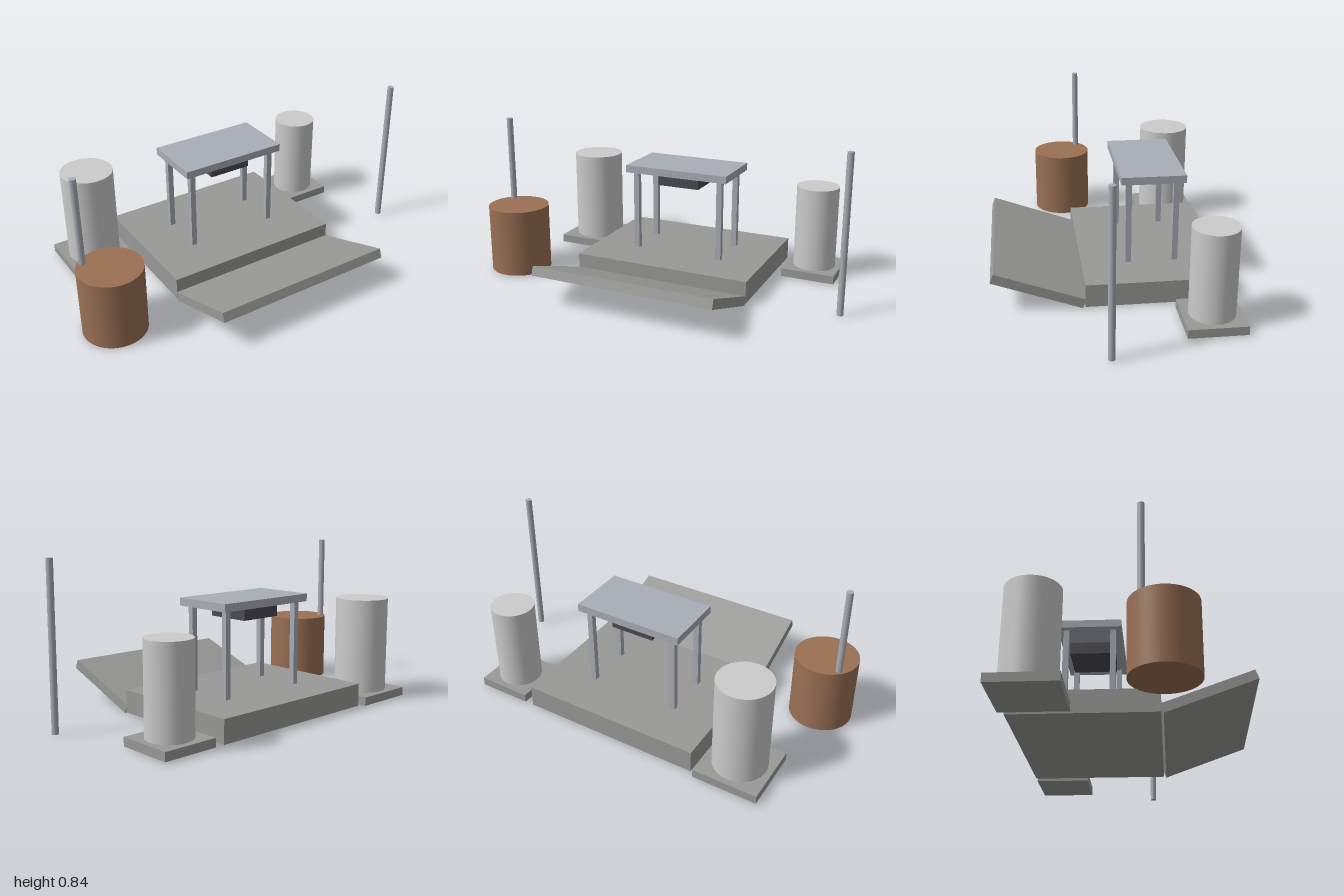
import * as THREE from 'three';

const mat = (color) => new THREE.MeshStandardMaterial({ color });

export function createModel() {
  const model = new THREE.Group();
  const grey = mat(0xcccccc);
  const concrete = mat(0x999997);
  const steel = mat(0xa9adb6);
  const dark = mat(0x4a4a50);
  const brown = mat(0x9a7054);

  const add = (name, geometry, material, x, y, z) => {
    const mesh = new THREE.Mesh(geometry, material);
    mesh.name = name;
    mesh.position.set(x, y, z);
    model.add(mesh);
    return mesh;
  };
  // Box and upright cylinder placed by their base height
  const box = (name, material, x, y, z, w, h, d) =>
    add(name, new THREE.BoxGeometry(w, h, d), material, x, y + h / 2, z);
  const drum = (name, material, x, y, z, r, h, sides = 48) =>
    add(name, new THREE.CylinderGeometry(r, r, h, sides), material, x, y + h / 2, z);

  // Platform with a ramp tilted up towards the front
  const cx = 0.022;
  box('platform', concrete, cx, 0.01, -0.219, 0.98, 0.12, 0.735);
  const ramp = box('ramp', concrete, cx, 0.085, 0.378, 0.98, 0.05, 0.48);
  ramp.rotation.x = -0.35;

  // Canopy on four posts, with a unit hung under it
  const cz = -0.218;
  box('canopyRoof', steel, cx, 0.57, cz, 0.587, 0.04, 0.33);
  box('hangingUnit', dark, cx, 0.505, cz, 0.235, 0.065, 0.235);
  for (const sx of [-1, 1]) {
    for (const sz of [-1, 1]) {
      box('canopyPost', steel, cx + sx * 0.245, 0.13, cz + sz * 0.122, 0.03, 0.44, 0.03);
    }
  }

  // Two tanks on square pads
  box('rightTankPad', concrete, -0.664, 0.01, -0.443, 0.342, 0.045, 0.342);
  drum('rightTank', grey, -0.664, 0.055, -0.443, 0.14, 0.505);
  box('leftTankPad', concrete, 0.709, 0.01, -0.441, 0.293, 0.045, 0.293);
  drum('leftTank', grey, 0.709, 0.055, -0.441, 0.115, 0.455);

  // Barrel and the two tall poles
  drum('barrel', brown, -0.835, 0.01, 0.173, 0.165, 0.365);
  for (const x of [-0.935, 0.981]) drum('pole', steel, x, 0.01, 0.076, 0.017, 0.83, 24);

  return model;
}
